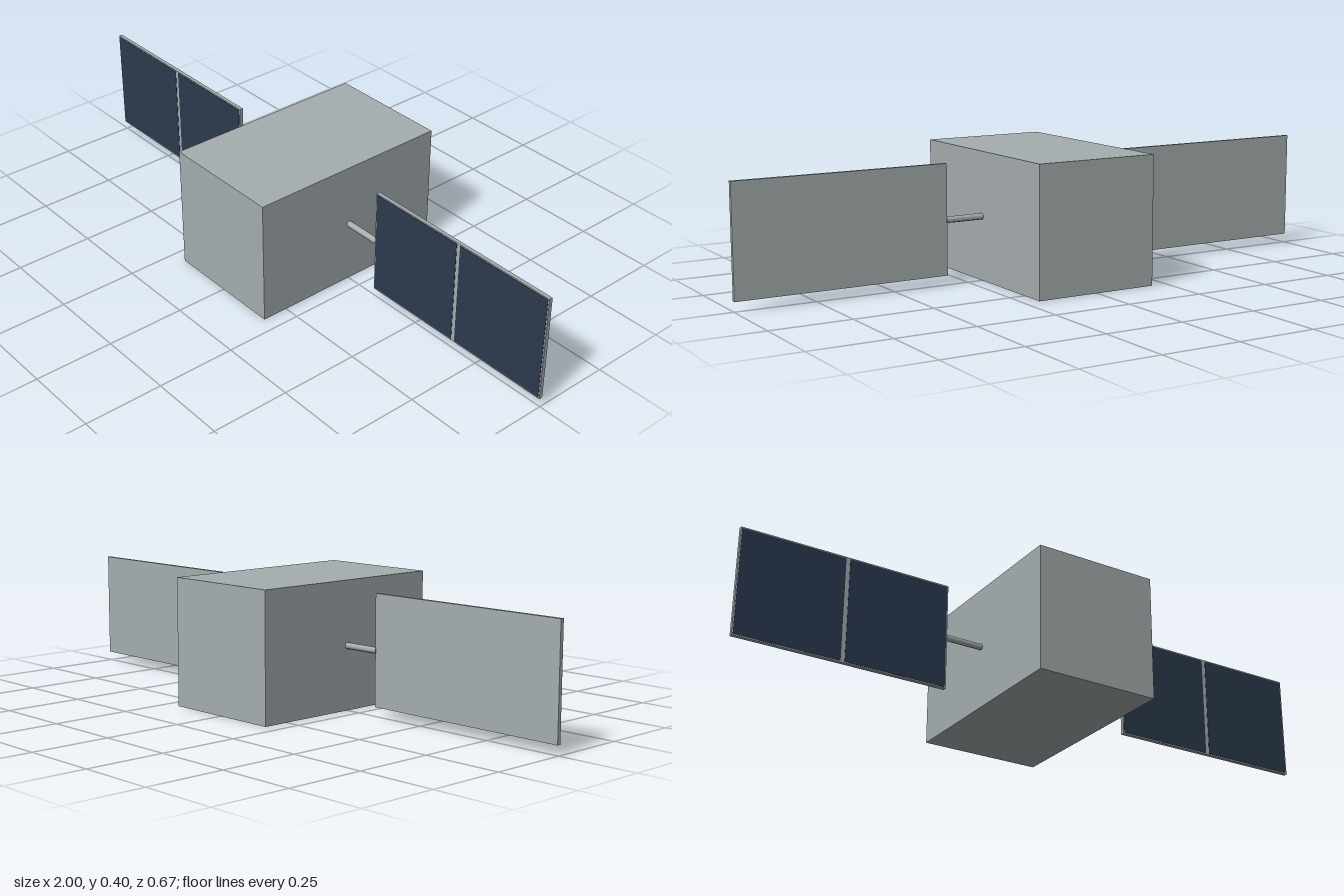
import * as THREE from 'three';

export function createModel() {
  const model = new THREE.Group();
  model.name = 'satellite';
  const grey = new THREE.MeshStandardMaterial({ name: 'hullGrey', color: 0xa5adaf });
  const navy = new THREE.MeshStandardMaterial({ name: 'cellNavy', color: 0x2c3a4e });

  const add = (parent, name, geometry, material, x, y, z) => {
    const mesh = new THREE.Mesh(geometry, material);
    mesh.name = name;
    mesh.position.set(x, y, z);
    parent.add(mesh);
    return mesh;
  };

  // Main body
  const midY = 0.2;
  add(model, 'body', new THREE.BoxGeometry(0.4, 0.4, 0.667), grey, 0, midY, 0);

  // One wing on each side: strut, backing panel and two solar cells
  const inner = 0.323, outer = 1;
  const width = outer - inner, centre = (inner + outer) / 2;
  const strutGeometry = new THREE.CylinderGeometry(0.01, 0.01, 0.15, 8).rotateZ(Math.PI / 2);
  const panelGeometry = new THREE.BoxGeometry(width, 0.342, 0.012);
  const cellGeometry = new THREE.BoxGeometry(0.328, 0.334, 0.002);

  for (const [side, s] of [['left', 1], ['right', -1]]) {
    const wing = new THREE.Group();
    wing.name = side + 'Wing';
    model.add(wing);
    add(wing, 'strut', strutGeometry, grey, s * 0.25, midY, 0);
    add(wing, 'panel', panelGeometry, grey, s * centre, midY + 0.001, 0);
    for (const k of [-1, 1]) {
      add(wing, 'solarCell', cellGeometry, navy, s * centre + k * 0.1705, midY + 0.001, 0.006);
    }
  }
  return model;
}
